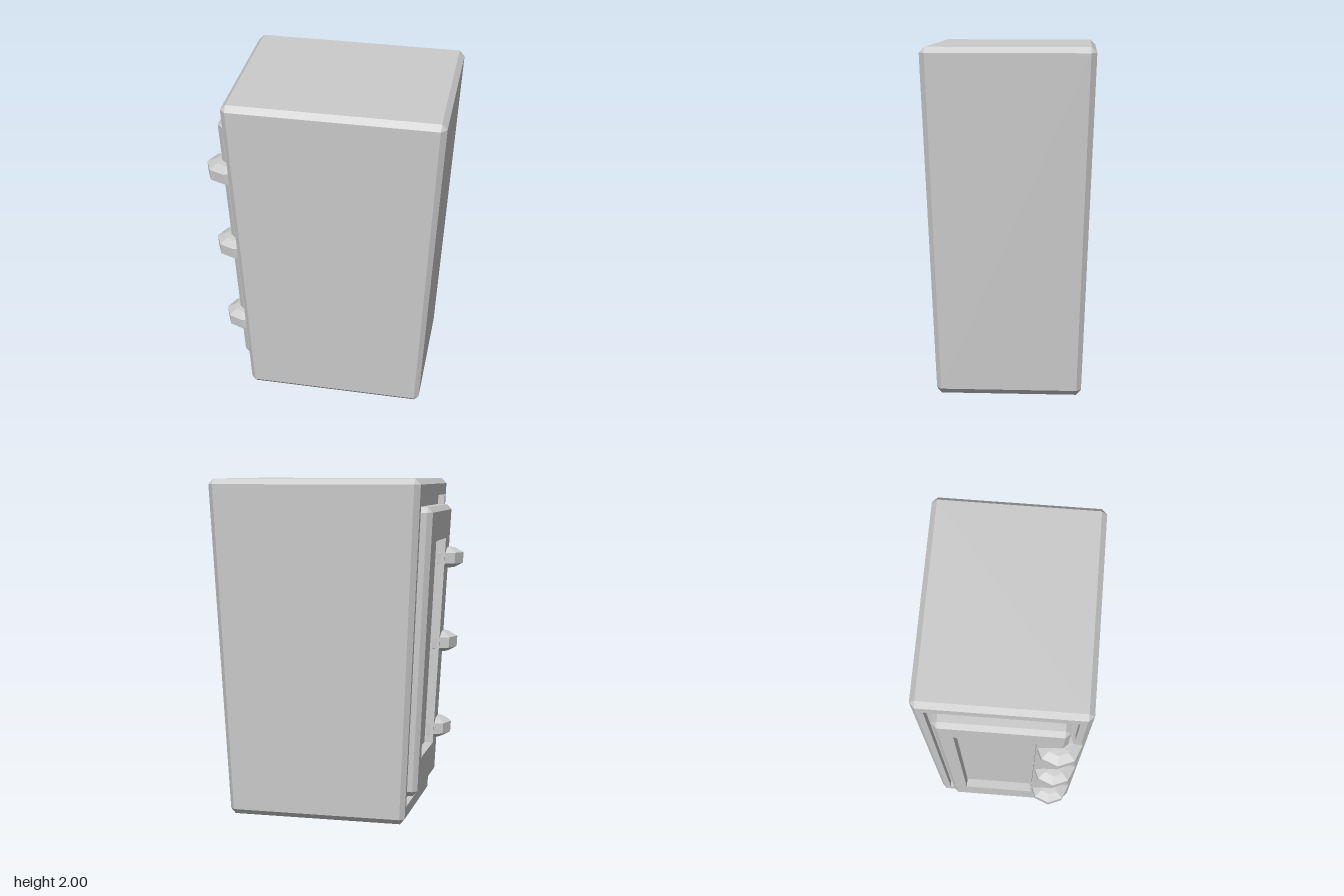
import * as THREE from 'three';
import { ConvexGeometry } from 'three/addons/geometries/ConvexGeometry.js';

const material = new THREE.MeshStandardMaterial({ color: 0xcccccc, flatShading: true });

// Narrow everything evenly towards the ground
function taper(geometry) {
  const g = geometry.index ? geometry.toNonIndexed() : geometry;
  const p = g.attributes.position;
  for (let i = 0; i < p.count; i++) {
    const s = 0.85 + 0.075 * p.getY(i);
    p.setX(i, p.getX(i) * s);
    p.setZ(i, p.getZ(i) * s);
  }
  g.computeVertexNormals();
  return g;
}

function addMesh(parent, name, geometry) {
  const mesh = new THREE.Mesh(taper(geometry), material);
  mesh.name = name;
  parent.add(mesh);
}

// Chamfered box whose -x face is left open
function openChamferBox([x0, x1], [y0, y1], [z0, z1], c) {
  const points = [];
  for (const [x, dx] of [[x0, c], [x1, -c]])
    for (const [y, dy] of [[y0, c], [y1, -c]])
      for (const [z, dz] of [[z0, c], [z1, -c]])
        points.push(
          new THREE.Vector3(x, y + dy, z + dz),
          new THREE.Vector3(x + dx, y, z + dz),
          new THREE.Vector3(x + dx, y + dy, z));
  const p = new ConvexGeometry(points).attributes.position;
  const kept = [];
  for (let i = 0; i < p.count; i += 3) {
    if (Math.max(p.getX(i), p.getX(i + 1), p.getX(i + 2)) < x0 + 1e-4) continue;
    for (let k = i; k < i + 3; k++) kept.push(p.getX(k), p.getY(k), p.getZ(k));
  }
  return new THREE.BufferGeometry().setAttribute('position', new THREE.Float32BufferAttribute(kept, 3));
}

function rectangle(path, [z0, z1], [y0, y1]) {
  path.moveTo(z0, y0);
  path.lineTo(z1, y0);
  path.lineTo(z1, y1);
  path.lineTo(z0, y1);
  path.closePath();
  return path;
}

// Chamfered box with a rectangular recess sunk into its -x face
function recessedBox(name, { x, y, z, chamfer: c, holeY, holeZ, depth }) {
  const group = new THREE.Group();
  group.name = name;
  addMesh(group, name + 'Shell', openChamferBox(x, y, z, c));

  const shape = rectangle(new THREE.Shape(), [z[0] + c, z[1] - c], [y[0] + c, y[1] - c]);
  shape.holes.push(rectangle(new THREE.Path(), holeZ, holeY));
  const frame = new THREE.ExtrudeGeometry(shape, { depth, bevelEnabled: false });
  frame.rotateY(-Math.PI / 2).translate(x[0] + depth, 0, 0);
  addMesh(group, name + 'Frame', frame);

  const floor = new THREE.PlaneGeometry(holeZ[1] - holeZ[0], holeY[1] - holeY[0]);
  floor.rotateY(-Math.PI / 2);
  floor.translate(x[0] + depth, (holeY[0] + holeY[1]) / 2, (holeZ[0] + holeZ[1]) / 2);
  addMesh(group, name + 'RecessFloor', floor);
  return group;
}

export function createModel() {
  const model = new THREE.Group();
  model.name = 'cabinet';

  model.add(recessedBox('body', {
    x: [-0.624, 0.624], y: [0, 2], z: [-0.49, 0.49], chamfer: 0.032,
    holeY: [0.1, 1.9], holeZ: [-0.42, 0.42], depth: 0.04,
  }));

  model.add(recessedBox('door', {
    x: [-0.683, -0.56], y: [0.15, 1.84], z: [-0.38, 0.38], chamfer: 0.03,
    holeY: [0.37, 1.64], holeZ: [-0.27, 0.2], depth: 0.06,
  }));

  // Faceted hinge knuckles along one edge of the door
  const profile = [[0, -0.07], [0.08, -0.06], [0.135, -0.033], [0.135, 0.033], [0.08, 0.06], [0, 0.07]]
    .map(([r, y]) => new THREE.Vector2(r, y));
  for (const y of [0.455, 0.995, 1.515]) {
    addMesh(model, 'hinge', new THREE.LatheGeometry(profile, 8).translate(-0.648, y, 0.33));
  }

  // The cabinet stands slightly turned
  model.rotation.y = -0.068;
  model.position.x = 0.06;
  return model;
}
